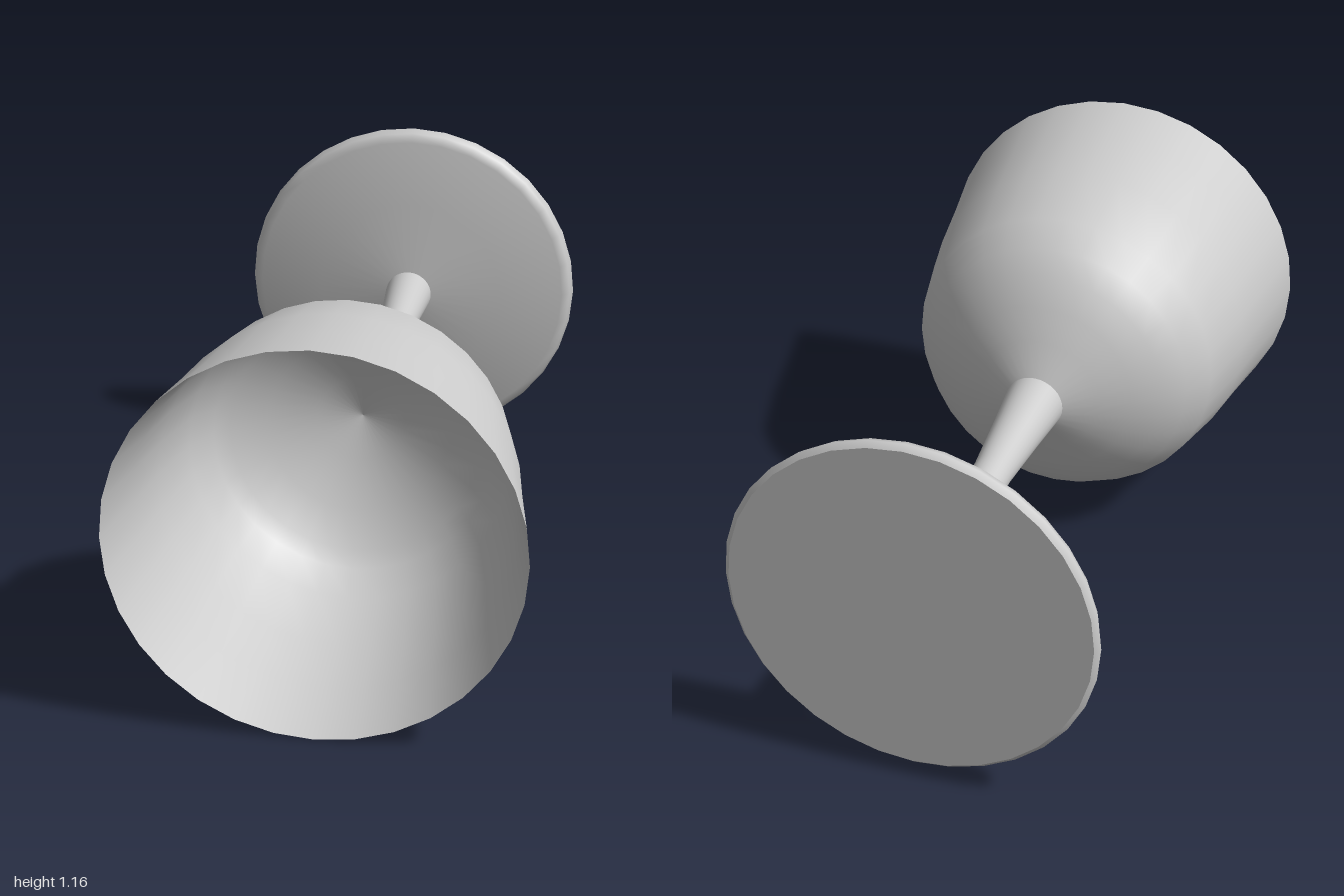
import * as THREE from 'three';

const SEGMENTS = 32;
const AXIS_HEIGHT = 0.578;

// Turns a [radius, position along axis] profile into a named part
function turned(name, profile, material) {
  const points = profile.map(([r, p]) => new THREE.Vector2(r, p));
  const mesh = new THREE.Mesh(new THREE.LatheGeometry(points, SEGMENTS), material);
  mesh.name = name;
  return mesh;
}

export function createModel() {
  const material = new THREE.MeshStandardMaterial({ color: 0xcccccc });
  const goblet = new THREE.Group();
  goblet.name = 'goblet';

  goblet.add(
    // Flat underside of the foot
    turned('footUnderside', [[0, -1], [0.525, -1]], material),
    // Rounded edge and shallow cone of the foot
    turned('foot', [[0.525, -1], [0.54, -0.985], [0.53, -0.96], [0.505, -0.94], [0.3, -0.91], [0.075, -0.88]], material),
    // Slim stem, flared at both ends
    turned('stem', [[0.075, -0.88], [0.058, -0.63], [0.058, -0.3], [0.075, -0.08], [0.09, 0.085]], material),
    // Outer wall of the bowl
    turned('bowlOutside', [
      [0.09, 0.085], [0.19, 0.135], [0.28, 0.18], [0.36, 0.235], [0.42, 0.295],
      [0.475, 0.385], [0.52, 0.6], [0.547, 0.8], [0.578, 1],
    ], material),
    // Inner wall, running from the thin rim down to the bottom
    turned('bowlInside', [
      [0.578, 1], [0.538, 0.8], [0.508, 0.6], [0.462, 0.4], [0.41, 0.31],
      [0.37, 0.265], [0.27, 0.2], [0.13, 0.14], [0, 0.11],
    ], material),
  );

  // Lay the goblet on its side, opening towards the front
  goblet.rotation.x = Math.PI / 2;
  goblet.position.y = AXIS_HEIGHT;

  const model = new THREE.Group();
  model.add(goblet);
  return model;
}
